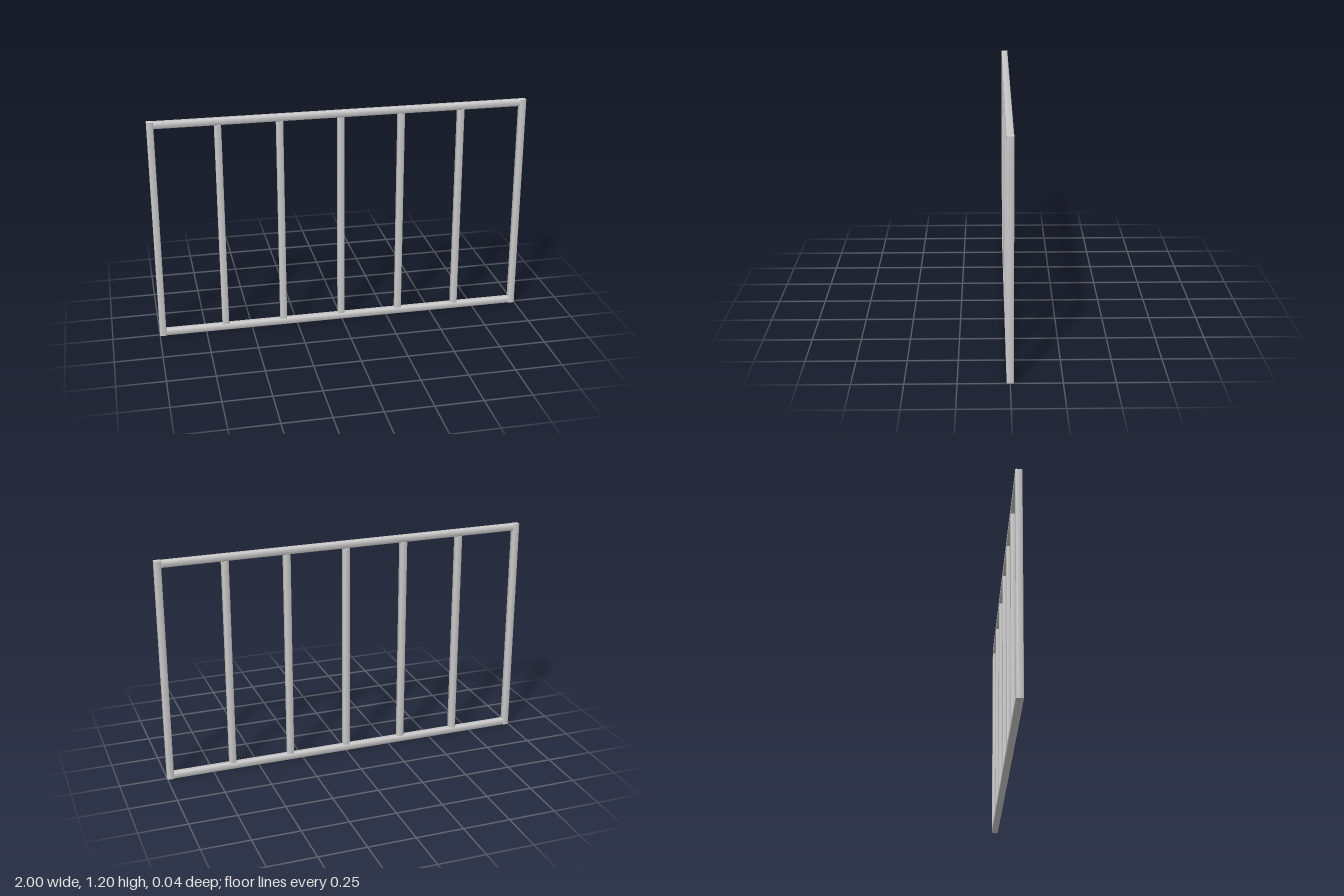
import * as THREE from 'three';

const material = new THREE.MeshStandardMaterial({ color: 0xcccccc });
const HALF = 0.0175; // half the bar thickness
const BEVEL = 0.004;
const HEIGHT = 1.2;

// Square bar along y with narrow bevels, softly shaded sides and flat ends
function barGeometry(length) {
  const geometry = new THREE.CylinderGeometry(1, 1, length, 8, 1, false, Math.PI / 8);
  const p = geometry.attributes.position;
  const snap = (v) => {
    const a = Math.abs(v);
    return a < 0.01 ? 0 : Math.sign(v) * (a > 0.6 ? HALF : HALF - BEVEL);
  };
  for (let i = 0; i < p.count; i++) {
    p.setX(i, snap(p.getX(i)));
    p.setZ(i, snap(p.getZ(i)));
  }
  return geometry;
}

export function createModel() {
  const model = new THREE.Group();
  model.name = 'railingPanel';

  const add = (name, length, x, y, horizontal = false) => {
    const geometry = barGeometry(length);
    if (horizontal) geometry.rotateZ(Math.PI / 2);
    const mesh = new THREE.Mesh(geometry, material);
    mesh.name = name;
    mesh.position.set(x, y, 0);
    model.add(mesh);
  };

  // End posts, full height
  add('rightPost', HEIGHT, -1 + HALF, HEIGHT / 2);
  add('leftPost', HEIGHT, 1 - HALF, HEIGHT / 2);

  // Rails between the posts
  const railLength = 2 - 4 * HALF;
  add('bottomRail', railLength, 0, HALF, true);
  add('topRail', railLength, 0, HEIGHT - HALF, true);

  // Upright bars between the rails
  [-0.643, -0.325, -0.004, 0.318, 0.642].forEach((x, i) => {
    add(`uprightBar${i + 1}`, HEIGHT - 4 * HALF, x, HEIGHT / 2);
  });

  return model;
}
